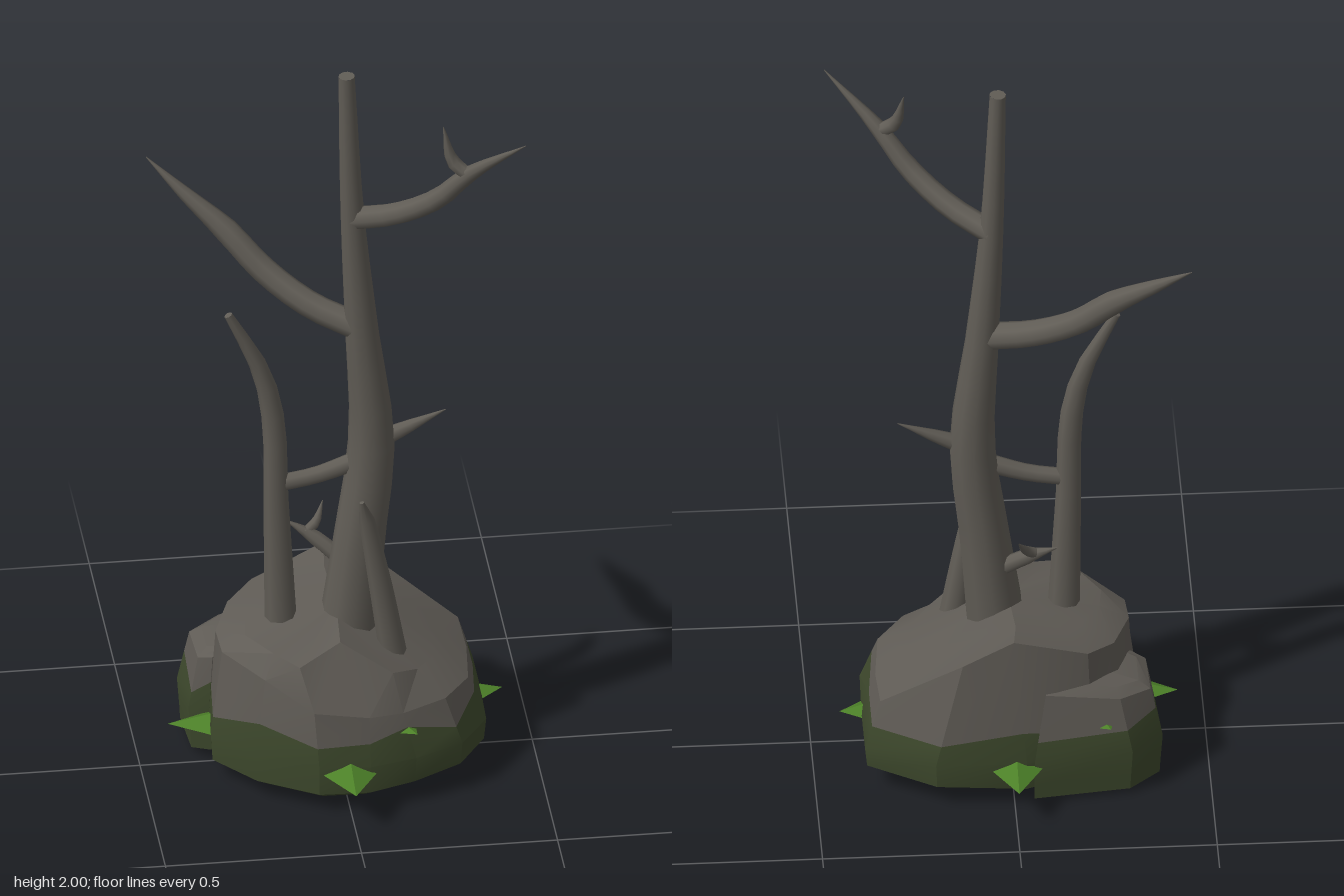
import * as THREE from 'three';
import { toCreasedNormals } from 'three/addons/utils/BufferGeometryUtils.js';

const mat = (name, color) => new THREE.MeshStandardMaterial({ name, color });

export function createModel() {
  const model = new THREE.Group();
  model.name = 'deadTreeOnRock';
  const wood = mat('greyWood', 0x615d56);
  const stone = mat('darkStone', 0x5f5b55);
  const moss = mat('moss', 0x3d482c);
  const grass = mat('grass', 0x4c8028);
  const earth = mat('earth', 0x876f5f);
  stone.side = moss.side = THREE.DoubleSide;

  const add = (name, geometry, material) => {
    const mesh = new THREE.Mesh(geometry, material);
    mesh.name = name;
    model.add(mesh);
    return mesh;
  };

  // Rock: each column is waist [x, z], shoulder [x, z, y], rim [x, z, y]
  function rock(name, columns, centre, foot) {
    const n = columns.length, pos = [], index = [];
    const rings = [
      columns.map(([w]) => [w[0] * foot, 0.014 + 0.06 * Math.max(w[0], 0), w[1] * foot]),
      columns.map(([w]) => [w[0] * 0.985, 0.05 + 0.06 * Math.max(w[0], 0), w[1] * 0.985]),
      columns.map(([w]) => [w[0], 0.13, w[1]]),
      columns.map(([w, s], i) => {
        const y = 0.195 + 0.022 * Math.sin(i * 2.4);
        const t = (y - 0.13) / (s[2] - 0.13);
        return [w[0] + (s[0] - w[0]) * t, y, w[1] + (s[1] - w[1]) * t];
      }),
      columns.map(([, s]) => [s[0], s[2], s[1]]),
      columns.map(([, , r]) => [r[0], r[2], r[1]]),
    ];
    rings.forEach(ring => ring.forEach(p => pos.push(...p)));
    const mid = columns.reduce((a, [w]) => [a[0] + w[0] * foot / n, a[1] + w[1] * foot / n], [0, 0]);
    const bottom = pos.length / 3, top = bottom + 1;
    pos.push(mid[0], 0.018, mid[1], ...centre);

    for (let i = 0; i < n; i++) index.push(bottom, i, (i + 1) % n);
    let mossEnd = 0;
    for (let k = 0; k < rings.length - 1; k++) {
      if (k === 3) mossEnd = index.length;
      for (let i = 0; i < n; i++) {
        const a = k * n + i, b = k * n + (i + 1) % n;
        index.push(a, a + n, b, b, a + n, b + n);
      }
    }
    const last = (rings.length - 1) * n;
    for (let i = 0; i < n; i++) index.push(last + i, top, last + (i + 1) % n);

    const g = new THREE.BufferGeometry();
    g.setAttribute('position', new THREE.Float32BufferAttribute(pos, 3));
    g.setIndex(index);
    g.addGroup(0, mossEnd, 0);
    g.addGroup(mossEnd, index.length - mossEnd, 1);
    add(name, toCreasedNormals(g, 0.4), [moss, stone]);
  }

  rock('mainRock', [
    [[0.375, -0.06], [0.34, -0.06, 0.25], [0.25, -0.05, 0.31]],
    [[0.37, 0.1], [0.325, 0.09, 0.25], [0.24, 0.07, 0.31]],
    [[0.295, 0.21], [0.255, 0.185, 0.25], [0.19, 0.14, 0.315]],
    [[0.17, 0.27], [0.14, 0.245, 0.25], [0.12, 0.195, 0.34]],
    [[0.05, 0.3], [0.05, 0.275, 0.26], [-0.01, 0.16, 0.42]],
    [[-0.08, 0.29], [-0.09, 0.27, 0.28], [-0.12, 0.215, 0.385]],
    [[-0.23, 0.2], [-0.205, 0.19, 0.34], [-0.18, 0.16, 0.4]],
    [[-0.33, 0.08], [-0.3, 0.07, 0.36], [-0.24, 0.06, 0.4]],
    [[-0.32, -0.03], [-0.305, -0.02, 0.37], [-0.23, -0.02, 0.41]],
    [[-0.29, -0.16], [-0.26, -0.14, 0.38], [-0.18, -0.1, 0.42]],
    [[-0.2, -0.24], [-0.19, -0.21, 0.4], [-0.13, -0.15, 0.43]],
    [[-0.03, -0.305], [0, -0.25, 0.472], [-0.01, -0.16, 0.455]],
    [[0.2, -0.3], [0.13, -0.26, 0.41], [0.07, -0.15, 0.43]],
    [[0.375, -0.21], [0.335, -0.19, 0.26], [0.24, -0.14, 0.32]],
  ], [0, 0.44, 0], 0.8);

  rock('rockLedge', [
    [[-0.08, -0.1], [-0.1, -0.1, 0.31], [-0.12, -0.11, 0.33]],
    [[-0.32, -0.03], [-0.31, -0.04, 0.28], [-0.28, -0.06, 0.3]],
    [[-0.37, -0.05], [-0.345, -0.06, 0.27], [-0.32, -0.08, 0.29]],
    [[-0.38, -0.2], [-0.35, -0.19, 0.27], [-0.32, -0.18, 0.29]],
    [[-0.3, -0.27], [-0.27, -0.245, 0.28], [-0.26, -0.22, 0.3]],
    [[-0.05, -0.3], [-0.08, -0.26, 0.31], [-0.1, -0.22, 0.33]],
  ], [-0.22, 0.31, -0.15], 0.98);

  // Bare earth underneath
  const base = add('earthBase', new THREE.CylinderGeometry(0.215, 0.2, 0.026, 10), earth);
  base.position.set(0, 0.013, -0.02);

  // Grass tufts: flattened three-sided spikes pointing outward
  [
    [0, 0.122, 0.27, 0, 0.108, 0.4, 0.095], [-0.005, 0.122, -0.27, -0.005, 0.108, -0.4, 0.095],
    [-0.28, 0.13, 0.015, -0.43, 0.12, 0.005, 0.095], [0.33, 0.135, -0.04, 0.43, 0.13, -0.05, 0.075],
    [0.14, 0.2, 0.225, 0.17, 0.212, 0.29, 0.045], [-0.215, 0.2, -0.22, -0.245, 0.215, -0.285, 0.05],
  ].forEach(([x, y, z, tx, ty, tz, r]) => {
    const from = new THREE.Vector3(x, y, z), to = new THREE.Vector3(tx, ty, tz);
    const length = from.distanceTo(to);
    const g = new THREE.ConeGeometry(r, length, 3).toNonIndexed();
    g.rotateX(Math.PI / 2);
    g.rotateZ(Math.PI);
    g.scale(1, 0.27, 1);
    g.translate(0, 0, length / 2);
    g.computeVertexNormals();
    const tuft = add('grassTuft', g, grass);
    tuft.position.copy(from);
    tuft.lookAt(to);
  });

  // Tapered limb through points [x, y, z, radius], closed at its tip
  function limb(name, points, sides = 8) {
    const curve = new THREE.CatmullRomCurve3(points.map(p => new THREE.Vector3(p[0], p[1], p[2])));
    const spans = points.length - 1, segments = spans * 3;
    const g = new THREE.TubeGeometry(curve, segments, 1, sides);
    const p = g.attributes.position, v = new THREE.Vector3();
    for (let i = 0; i <= segments; i++) {
      const u = i / segments, c = curve.getPointAt(u);
      const t = curve.getUtoTmapping(u) * spans, k = Math.min(Math.floor(t), spans - 1);
      const r = THREE.MathUtils.lerp(points[k][3], points[k + 1][3], t - k);
      for (let j = 0; j <= sides; j++) {
        const id = i * (sides + 1) + j;
        v.fromBufferAttribute(p, id).sub(c).multiplyScalar(r).add(c);
        p.setXYZ(id, v.x, v.y, v.z);
      }
    }
    add(name, g, wood);
    const tipRadius = points[spans][3];
    if (tipRadius > 0.005) {
      const cap = add(name + 'Tip', new THREE.CircleGeometry(tipRadius, sides), wood);
      cap.position.copy(curve.getPointAt(1));
      cap.lookAt(cap.position.clone().add(curve.getTangentAt(1)));
    }
  }

  limb('trunk', [[0.03, 0.36, 0, 0.077], [0.058, 0.62, 0, 0.066], [0.09, 0.92, 0, 0.06],
    [0.065, 1.25, 0.002, 0.043], [0.04, 1.6, 0.008, 0.03], [0.025, 2, 0.014, 0.021]], 10);
  limb('secondTrunk', [[-0.14, 0.36, 0, 0.042], [-0.153, 0.75, 0, 0.032], [-0.161, 1, 0, 0.029],
    [-0.192, 1.14, 0, 0.024], [-0.275, 1.31, 0, 0.011]]);
  limb('brokenStump', [[0.14, 0.3, 0.08, 0.036], [0.1, 0.55, 0.085, 0.029],
    [0.065, 0.74, 0.095, 0.02], [0.053, 0.79, 0.098, 0.006]]);
  limb('crossBranch', [[-0.145, 0.805, 0, 0.022], [-0.05, 0.822, 0, 0.022], [0.06, 0.86, 0, 0.025]]);
  limb('sideSpike', [[0.1, 0.91, 0, 0.026], [0.18, 0.945, 0, 0.018], [0.28, 0.99, 0, 0.001]]);
  limb('leftReachingBranch', [[0.05, 1.255, 0, 0.036], [-0.06, 1.295, -0.05, 0.035], [-0.17, 1.37, -0.11, 0.034],
    [-0.26, 1.465, -0.16, 0.032], [-0.36, 1.55, -0.215, 0.018], [-0.45, 1.63, -0.27, 0.001]]);
  limb('rightReachingBranch', [[0.04, 1.575, 0.005, 0.031], [0.14, 1.615, 0.065, 0.03], [0.24, 1.69, 0.13, 0.027],
    [0.32, 1.79, 0.18, 0.021], [0.45, 1.912, 0.267, 0.001]]);
  limb('upperTwig', [[0.32, 1.78, 0.178, 0.018], [0.278, 1.815, 0.16, 0.019], [0.255, 1.91, 0.143, 0.001]]);
  limb('lowerTwig', [[0.02, 0.55, -0.03, 0.022], [-0.05, 0.605, -0.06, 0.02], [-0.12, 0.645, -0.085, 0.001]]);
  limb('lowerTwigFork', [[-0.07, 0.615, -0.065, 0.014], [-0.042, 0.635, -0.08, 0.013], [-0.02, 0.68, -0.11, 0.001]]);

  return model;
}
